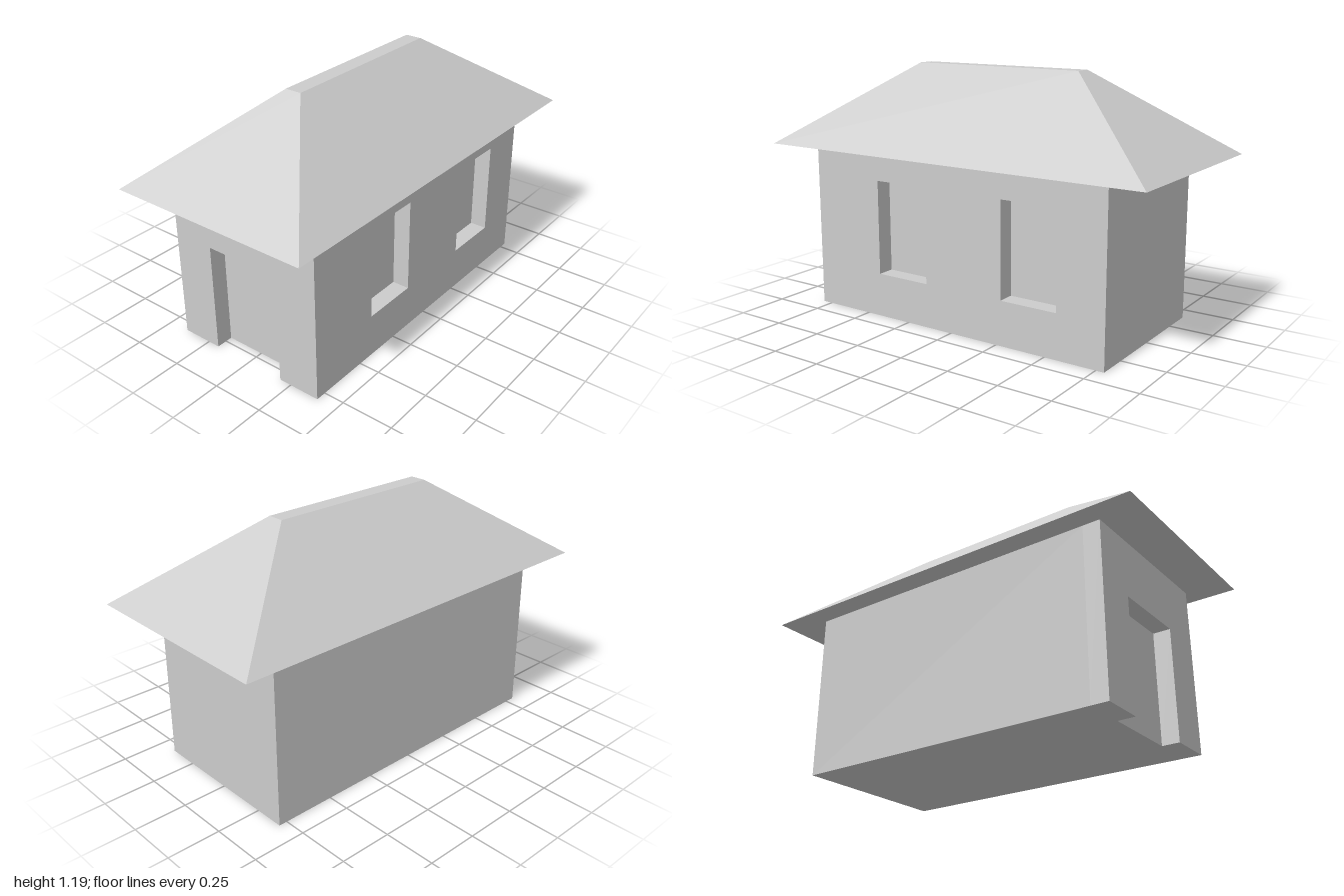
import * as THREE from 'three';

export function createModel() {
  const house = new THREE.Group();
  house.name = 'house';
  const plaster = new THREE.MeshStandardMaterial({ color: 0xcccccc });
  plaster.name = 'light grey';

  const left = -0.8, right = 0.79, back = -0.395, front = 0.4;
  const wallTop = 0.8, recess = 0.083;

  const add = (name, geometry, x = 0, y = 0, z = 0) => {
    const mesh = new THREE.Mesh(geometry, plaster);
    mesh.name = name;
    mesh.position.set(x, y, z);
    house.add(mesh);
    return mesh;
  };
  const polygon = (points) => new THREE.Shape(points.map(([x, y]) => new THREE.Vector2(x, y)));
  const rect = (x0, y0, x1, y1) => polygon([[x0, y0], [x1, y0], [x1, y1], [x0, y1]]);
  const slab = (shape) => new THREE.ExtrudeGeometry(shape, { depth: recess, bevelEnabled: false });

  // Solid core; its faces form the backs of the window and door recesses
  const coreLeft = left + recess, coreFront = front - recess;
  add('wallCore', new THREE.BoxGeometry(right - coreLeft, wallTop, coreFront - back),
    (coreLeft + right) / 2, wallTop / 2, (back + coreFront) / 2);

  // Front wall with two window recesses
  const frontShape = rect(left, 0, right, wallTop);
  for (const x of [-0.42, 0.275]) frontShape.holes.push(rect(x, 0.21, x + 0.282, 0.663));
  add('frontWall', slab(frontShape), 0, 0, coreFront);

  // End wall with a doorway open at the ground
  const doorHalf = 0.19, doorTop = 0.53;
  const doorShape = polygon([
    [back, 0], [-doorHalf, 0], [-doorHalf, doorTop], [doorHalf, doorTop],
    [doorHalf, 0], [coreFront, 0], [coreFront, wallTop], [back, wallTop],
  ]);
  add('doorWall', slab(doorShape), coreLeft).rotation.y = -Math.PI / 2;

  // Hipped roof: a box tapered to a narrow flat ridge
  const roofHeight = 0.39;
  const roof = new THREE.BoxGeometry(2, roofHeight, 1);
  const p = roof.attributes.position;
  for (let i = 0; i < p.count; i++) {
    if (p.getY(i) > 0) {
      p.setX(i, Math.sign(p.getX(i)) * 0.44);
      p.setZ(i, Math.sign(p.getZ(i)) * 0.04);
    }
  }
  roof.computeVertexNormals();
  add('roof', roof, 0, wallTop + roofHeight / 2, 0);

  return house;
}
